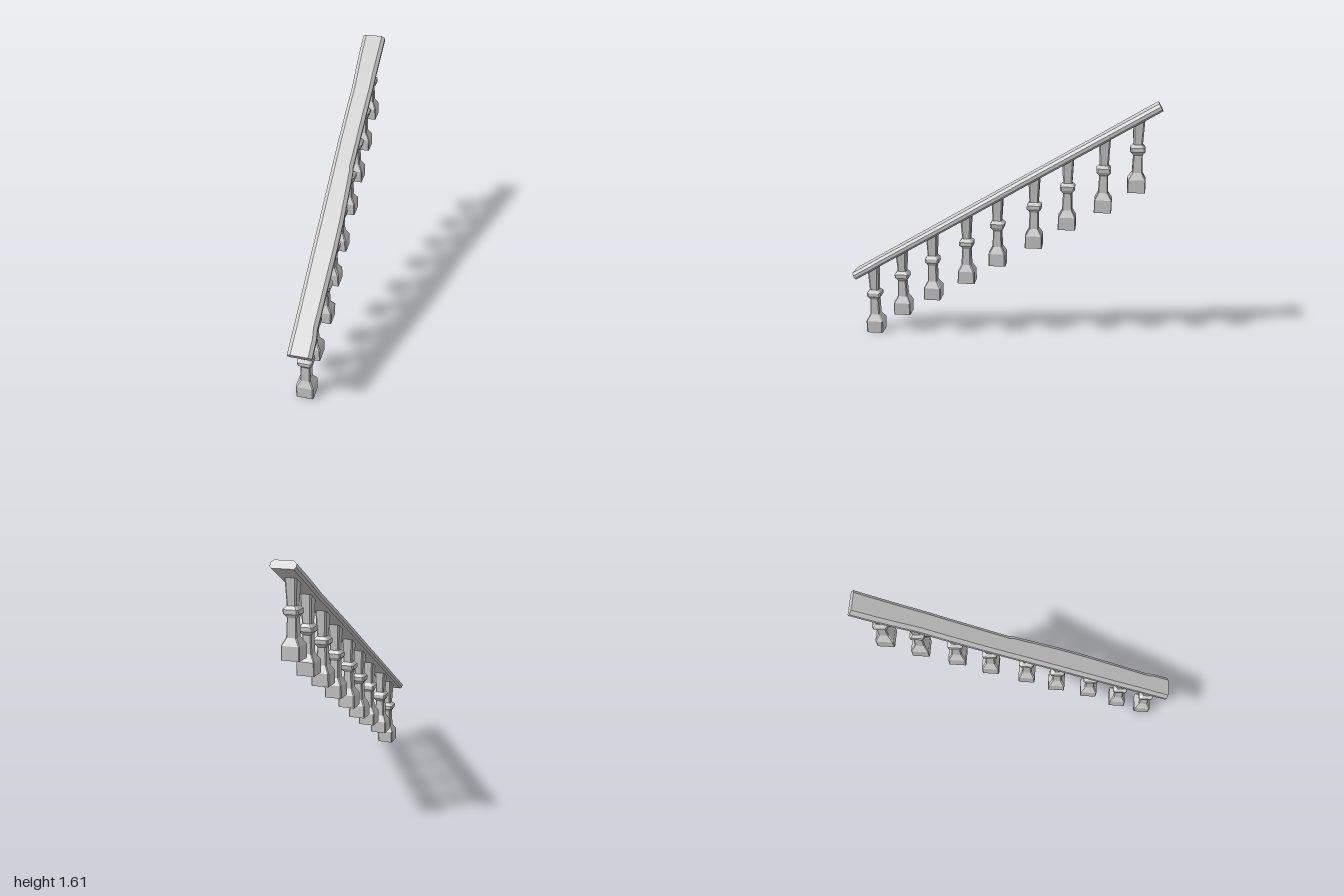
import * as THREE from 'three';

const LOW = new THREE.Vector3(0, 0.407, 0.988);   // rail axis, lower end
const HIGH = new THREE.Vector3(0, 1.589, -0.987); // rail axis, upper end
const SLOPE = (HIGH.y - LOW.y) / (HIGH.z - LOW.z);
const railY = z => LOW.y + (z - LOW.z) * SLOPE;

const material = new THREE.MeshStandardMaterial({ color: 0xcccccc, flatShading: true });

// small seeded noise for the hand-worn look
let seed = 7;
const jitter = amount => {
  seed = (seed * 16807) % 2147483647;
  return (seed / 2147483647 - 0.5) * 2 * amount;
};

// closed solid through a list of rings, each counter-clockwise seen from the path's end
function loft(rings) {
  const n = rings[0].length, last = (rings.length - 1) * n, index = [];
  for (let i = 0; i < rings.length - 1; i++) {
    for (let j = 0; j < n; j++) {
      const a = i * n + j, b = i * n + (j + 1) % n;
      index.push(a, b, b + n, a, b + n, a + n);
    }
  }
  for (let j = 1; j < n - 1; j++) {
    index.push(0, j + 1, j, last, last + j, last + j + 1);
  }
  const g = new THREE.BufferGeometry().setFromPoints(rings.flat());
  g.setIndex(index);
  const flat = g.toNonIndexed();
  flat.computeVertexNormals();
  return flat;
}

// square with chamfered corners, as [x, y] pairs counter-clockwise
function chamferedSquare(h, c) {
  const k = h - c;
  return [[h, -k], [h, k], [k, h], [-k, h], [-h, k], [-h, -k], [-k, -h], [k, -h]];
}

// sloping handrail: flat top, chamfered long edges, slightly worn sides
function makeRail() {
  // [distance from the upper end, left edge, right edge]
  const stations = [
    [0, 0.073, -0.08], [0.17, 0.07, -0.08], [0.3, 0.068, -0.077], [0.43, 0.068, -0.073],
    [0.6, 0.064, -0.077], [0.85, 0.06, -0.08], [1.03, 0.057, -0.08], [1.06, 0.063, -0.08],
    [1.4, 0.074, -0.079], [1.62, 0.074, -0.08], [1.9, 0.069, -0.08], [2.12, 0.065, -0.079],
    [2.18, 0.073, -0.08], [1, 0.073, -0.08],
  ];
  const total = HIGH.distanceTo(LOW);
  stations[stations.length - 1][0] = total;
  const up = new THREE.Vector3(0, LOW.z - HIGH.z, HIGH.y - LOW.y).normalize();
  const rings = stations.map(([s, l, r]) => {
    const p = HIGH.clone().lerp(LOW, s / total);
    return [
      [l - 0.012, -0.025], [l, -0.013], [l, 0.008], [l - 0.021, 0.025],
      [r + 0.023, 0.025], [r, 0.008], [r, -0.013], [r + 0.012, -0.025],
    ].map(([x, h]) => p.clone().addScaledVector(up, h).setX(x));
  });
  const rail = new THREE.Mesh(loft(rings), material);
  rail.name = 'handrail';
  return rail;
}

// baluster: block foot, waist, collar and flared neck cut to the slope of the rail
const PROFILE = [ // [height, half width, chamfer]
  [0, 0.056, 0.005], [0.082, 0.056, 0.006], [0.125, 0.032, 0.007], [0.235, 0.029, 0.007],
  [0.247, 0.036, 0.008], [0.258, 0.046, 0.009], [0.283, 0.046, 0.009], [0.302, 0.029, 0.008],
];
function makeBaluster(x, y, z) {
  const rings = PROFILE.map(([h, w, c], i) => {
    const dx = i ? jitter(0.0015) : 0, dz = i ? jitter(0.0015) : 0;
    return chamferedSquare(w + jitter(0.001), c + jitter(0.002))
      .map(([px, pz]) => new THREE.Vector3(px + dx, h, -pz + dz));
  });
  rings.push(chamferedSquare(0.037, 0.009)
    .map(([px, pz]) => new THREE.Vector3(px, railY(z - pz) - 0.01 - y, -pz)));
  const baluster = new THREE.Mesh(loft(rings), material);
  baluster.name = 'baluster';
  baluster.position.set(x, y, z);
  return baluster;
}

export function createModel() {
  const model = new THREE.Group();
  model.name = 'stairRailing';
  model.add(makeRail());

  const places = [ // [x, foot height, z], lowest first
    [-0.001, 0, 0.865], [-0.009, 0.14, 0.67], [0.008, 0.265, 0.456],
    [0, 0.39, 0.226], [0, 0.522, 0.02], [0, 0.655, -0.218],
    [0, 0.788, -0.43], [0, 0.91, -0.655], [0, 1.048, -0.86],
  ];
  const balusters = new THREE.Group();
  balusters.name = 'balusters';
  for (const p of places) balusters.add(makeBaluster(...p));
  model.add(balusters);
  return model;
}
